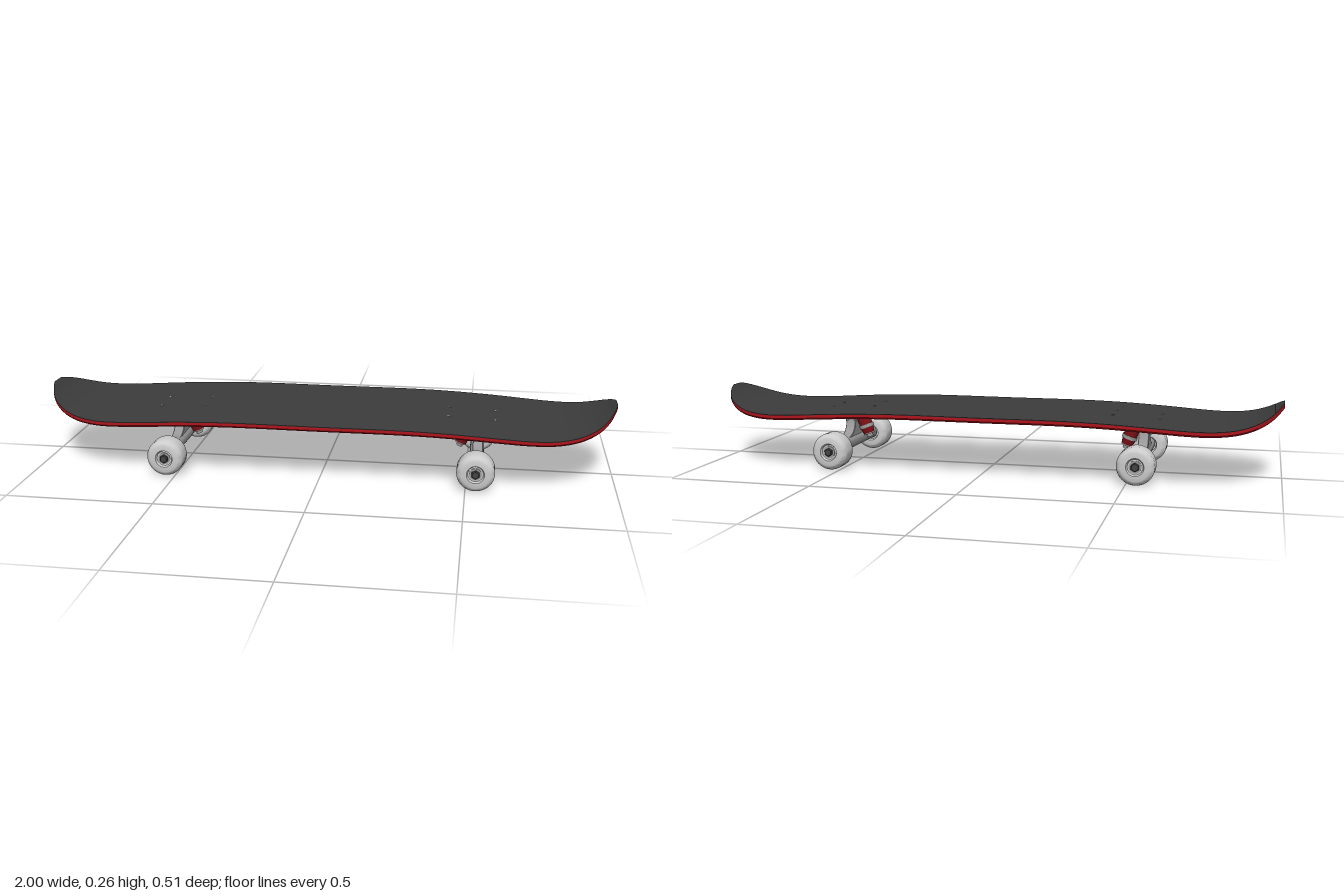
import * as THREE from 'three';
import { toCreasedNormals } from 'three/addons/utils/BufferGeometryUtils.js';

const mat = (color) => new THREE.MeshStandardMaterial({ color });
const red = mat(0xb0141c), grip = mat(0x3c3c3c), dark = mat(0x444444);
const metal = mat(0x999999), pale = mat(0xcccccc), bushingRed = mat(0x7a1216);

function add(parent, name, geometry, material, x = 0, y = 0, z = 0) {
  const mesh = new THREE.Mesh(geometry, material);
  mesh.name = name;
  mesh.position.set(x, y, z);
  parent.add(mesh);
  return mesh;
}

// Half of the deck: x, top height, half width
const stations = [
  [0, 0.205, 0.256], [0.3, 0.205, 0.256], [0.45, 0.201, 0.256], [0.6, 0.193, 0.255],
  [0.7, 0.187, 0.25], [0.78, 0.185, 0.238], [0.85, 0.19, 0.215], [0.9, 0.201, 0.188],
  [0.94, 0.217, 0.155], [0.97, 0.235, 0.113], [0.99, 0.251, 0.065], [1, 0.259, 0.03],
];
const mirrored = stations.slice(1).reverse().map(([x, y, w]) => [-x, y, w]);
const deckCurve = new THREE.CatmullRomCurve3(
  [...mirrored, ...stations].map((p) => new THREE.Vector3(...p)), false, 'centripetal');

// Layer of the deck between two heights relative to its top, lower edges rounded by bevel
function deckLayer(high, low, bevel) {
  const pos = [], index = [], n = 110, m = 6;
  for (let i = 0; i <= n; i++) {
    const { x, y, z: w } = deckCurve.getPoint(i / n);
    const b = Math.min(bevel, w * 0.3);
    pos.push(x, y + high, w, x, y + high, -w, x, y + low + b, -w,
      x, y + low, b - w, x, y + low, w - b, x, y + low + b, w);
  }
  for (let i = 0; i < n; i++) {
    for (let j = 0; j < m; j++) {
      const a = i * m + j, d = i * m + (j + 1) % m;
      index.push(a, a + m, d + m, a, d + m, d);
    }
  }
  for (let j = 1; j < m - 1; j++) {
    index.push(0, j, j + 1, n * m, n * m + j + 1, n * m + j);
  }
  const g = new THREE.BufferGeometry();
  g.setAttribute('position', new THREE.Float32BufferAttribute(pos, 3));
  g.setIndex(index);
  return toCreasedNormals(g, 0.6);
}

// Solid of revolution around the z axis from [radius, z] pairs
function latheZ(profile, segments = 40) {
  const g = new THREE.LatheGeometry(profile.map((p) => new THREE.Vector2(...p)), segments);
  return toCreasedNormals(g.rotateX(Math.PI / 2), 0.5);
}

function wheel() {
  const g = new THREE.Group();
  g.name = 'wheel';
  // Tyre with rounded shoulders and recessed faces
  add(g, 'tyre', latheZ([
    [0.012, -0.03], [0.026, -0.03], [0.03, -0.043], [0.048, -0.043], [0.054, -0.04], [0.061, -0.032],
    [0.064, -0.024], [0.064, 0.024], [0.061, 0.032], [0.054, 0.04], [0.048, 0.043],
    [0.03, 0.043], [0.026, 0.034], [0.012, 0.034],
  ]), pale);
  add(g, 'bearing', latheZ([[0, -0.037], [0.021, -0.037], [0.021, 0.037], [0, 0.037]], 24), metal);
  add(g, 'axleNut', latheZ([[0, 0.03], [0.015, 0.03], [0.015, 0.044], [0.012, 0.047], [0, 0.047]], 6), dark);
  return g;
}

// Tapered hanger body: wide at the axle, curving up to a narrow neck
function hangerNeck() {
  const s = new THREE.Shape();
  s.moveTo(-0.085, 0.088);
  s.bezierCurveTo(-0.045, 0.092, -0.03, 0.112, -0.023, 0.14);
  s.lineTo(0.023, 0.14);
  s.bezierCurveTo(0.03, 0.112, 0.045, 0.092, 0.085, 0.088);
  s.lineTo(0.07, 0.05);
  s.lineTo(-0.07, 0.05);
  const g = new THREE.ExtrudeGeometry(s, {
    depth: 0.024, bevelThickness: 0.006, bevelSize: 0.003, bevelSegments: 2, curveSegments: 12,
  });
  return toCreasedNormals(g.translate(0, 0, -0.012).rotateY(Math.PI / 2), 0.6);
}

function truck() {
  const g = new THREE.Group();
  g.name = 'truck';
  const ax = 0.533, ay = 0.064;

  // Mounting plates follow the slight slope of the deck
  const mount = new THREE.Group();
  mount.name = 'mount';
  mount.position.set(0.515, 0.174, 0);
  mount.rotation.z = -0.045;
  g.add(mount);
  add(mount, 'riserPad', new THREE.BoxGeometry(0.205, 0.016, 0.15), dark, 0, 0.002, 0);
  add(mount, 'basePlate', new THREE.BoxGeometry(0.18, 0.008, 0.14), metal, 0, -0.01, 0);
  add(mount, 'plateBoss', new THREE.BoxGeometry(0.1, 0.012, 0.075), metal, 0.0, -0.018, 0);
  for (const x of [-0.08, 0.08]) {
    for (const z of [-0.055, 0.055]) {
      add(mount, 'mountingNut', new THREE.CylinderGeometry(0.008, 0.008, 0.01, 6), metal, x, -0.016, z);
    }
  }

  // Hanger, pivot and kingpin
  add(g, 'hangerBar', latheZ([[0, -0.168], [0.024, -0.168], [0.0245, 0], [0.024, 0.168], [0, 0.168]], 24),
    metal, ax, ay + 0.005, 0);
  add(g, 'hangerNeck', hangerNeck(), metal, ax + 0.003, 0, 0);
  add(g, 'pivot', new THREE.CylinderGeometry(0.026, 0.022, 0.03, 20), metal, ax + 0.008, 0.148, 0);
  const kingpin = new THREE.Group();
  kingpin.name = 'kingpin';
  kingpin.position.set(0.485, 0.12, 0);
  kingpin.rotation.z = -0.35;
  g.add(kingpin);
  add(kingpin, 'upperBushing', new THREE.CylinderGeometry(0.024, 0.024, 0.032, 20), bushingRed, 0, 0.021, 0);
  add(kingpin, 'bushingSeat', new THREE.CylinderGeometry(0.027, 0.027, 0.012, 20), metal);
  add(kingpin, 'lowerBushing', new THREE.CylinderGeometry(0.024, 0.02, 0.022, 20), bushingRed, 0, -0.016, 0);
  add(kingpin, 'washer', new THREE.CylinderGeometry(0.02, 0.02, 0.004, 20), metal, 0, -0.029, 0);
  add(kingpin, 'kingpinNut', new THREE.CylinderGeometry(0.012, 0.012, 0.012, 6), metal, 0, -0.036, 0);

  // Axle and wheels
  const axle = new THREE.CylinderGeometry(0.008, 0.008, 0.508, 16).rotateX(Math.PI / 2);
  add(g, 'axle', axle, metal, ax, ay, 0);
  for (const side of [1, -1]) {
    const w = wheel();
    w.position.set(ax, ay, side * 0.209);
    if (side < 0) w.rotation.y = Math.PI;
    g.add(w);
  }

  // Bolt heads just above the grip surface
  for (const [x, y] of [[0.432, 0.2035], [0.592, 0.1952]]) {
    for (const z of [-0.055, 0.055]) {
      add(g, 'boltHead', new THREE.CylinderGeometry(0.005, 0.005, 0.003, 12), metal, x, y, z);
    }
  }
  return g;
}

export function createModel() {
  const model = new THREE.Group();
  model.name = 'skateboard';
  add(model, 'deck', deckLayer(0, -0.016, 0.006), red);
  add(model, 'gripSurface', deckLayer(0.002, 0, 0), grip);
  const front = truck();
  const back = truck();
  back.rotation.y = Math.PI;
  model.add(front, back);
  return model;
}
